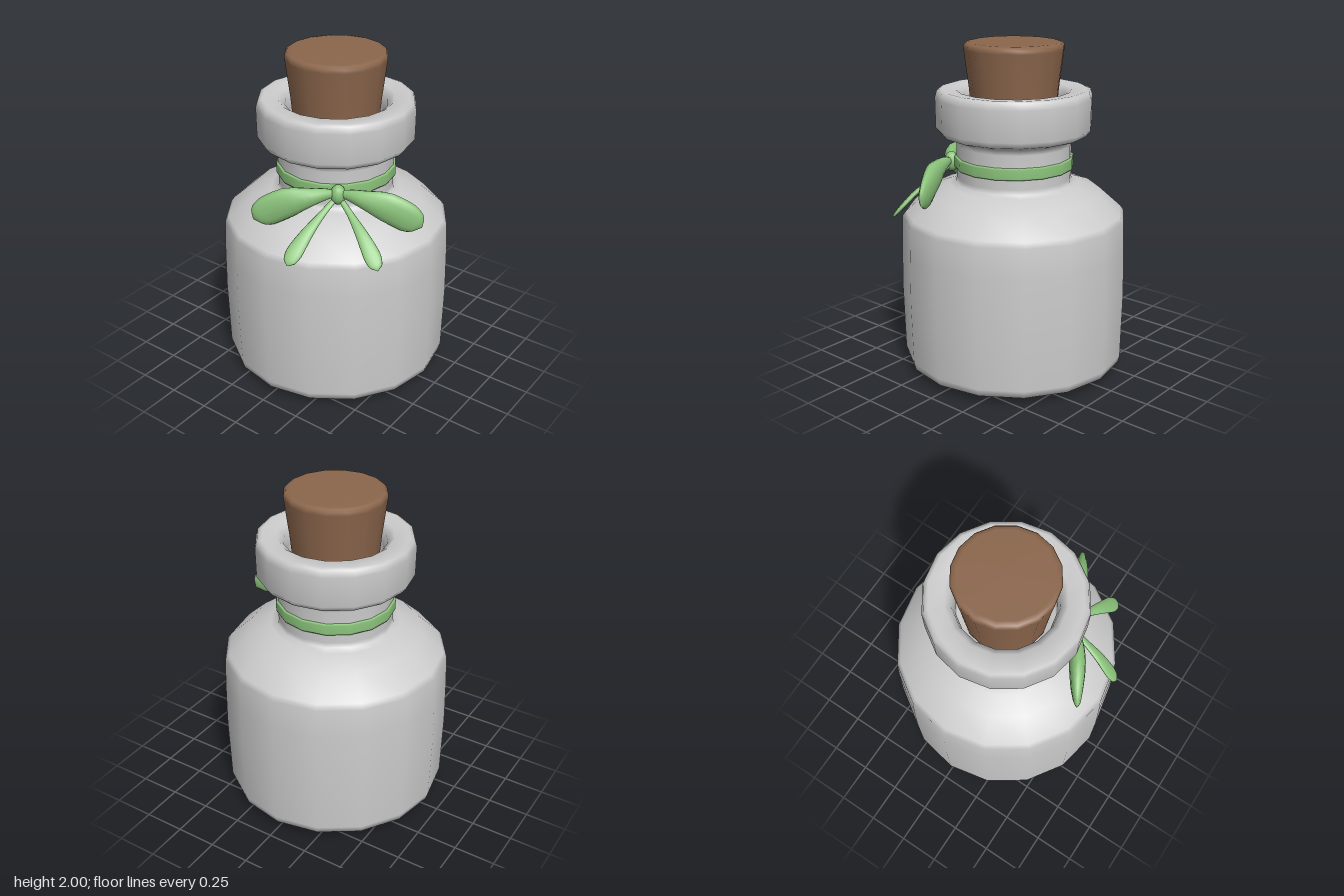
import * as THREE from 'three';

const SIDES = 16;

function lathe(name, profile, material) {
  const pts = profile.map(([r, y]) => new THREE.Vector2(r, y));
  const mesh = new THREE.Mesh(new THREE.LatheGeometry(pts, SIDES), material);
  mesh.name = name;
  return mesh;
}

// Loft of elliptical sections along a curve; rows are [x, y, z, halfWidth, halfThickness]
function loft(name, rows, mirror, hint, material, around = 12, steps = 16) {
  const path = new THREE.CatmullRomCurve3(rows.map(r => new THREE.Vector3(r[0] * mirror, r[1], r[2])));
  const sizes = new THREE.CatmullRomCurve3(rows.map(r => new THREE.Vector3(r[3], r[4], 0)));
  const pos = [], idx = [];
  for (let i = 0; i <= steps; i++) {
    const t = i / steps, p = path.getPoint(t), s = sizes.getPoint(t), tan = path.getTangent(t);
    const side = tan.clone().cross(hint).normalize();
    const nrm = side.clone().cross(tan);
    for (let j = 0; j < around; j++) {
      const a = j / around * Math.PI * 2;
      const v = p.clone().addScaledVector(side, s.x * Math.cos(a)).addScaledVector(nrm, s.y * Math.sin(a));
      pos.push(v.x, v.y, v.z);
      if (i < steps) {
        const k = (j + 1) % around, b = i * around, c = b + around;
        idx.push(b + j, c + j, b + k, c + j, c + k, b + k);
      }
    }
  }
  const geo = new THREE.BufferGeometry();
  geo.setAttribute('position', new THREE.Float32BufferAttribute(pos, 3));
  geo.setIndex(idx);
  geo.computeVertexNormals();
  const mesh = new THREE.Mesh(geo, material);
  mesh.name = name;
  return mesh;
}

export function createModel() {
  const mat = (name, color) => Object.assign(new THREE.MeshStandardMaterial({ color }), { name });
  const glass = mat('pale grey', 0xcccccc);
  const cork = mat('cork brown', 0x8b664c);
  const green = mat('ribbon green', 0x8cc47c);
  const model = new THREE.Group();
  model.name = 'corkedBottle';

  // Bottle: base, wall, shoulder, neck, rim and open mouth
  model.add(lathe('bottle', [
    [0, 0.005], [0.5, 0.005], [0.57, 0.01], [0.67, 0.055], [0.682, 0.1], [0.69, 0.5], [0.685, 0.78],
    [0.677, 0.96], [0.655, 0.99], [0.52, 1.112], [0.39, 1.155], [0.35, 1.17], [0.345, 1.2],
    [0.345, 1.4], [0.35, 1.432], [0.435, 1.462], [0.465, 1.5], [0.467, 1.68], [0.455, 1.72],
    [0.43, 1.728], [0.34, 1.72], [0.3, 1.69], [0.285, 1.62], [0.28, 1.5], [0, 1.5],
  ], glass));

  // Tapered stopper
  model.add(lathe('stopper', [
    [0, 1.5], [0.245, 1.5], [0.247, 1.52], [0.266, 1.73], [0.295, 1.96], [0.296, 1.98],
    [0.285, 1.995], [0.26, 2], [0, 2],
  ], cork));

  // Ribbon around the neck
  model.add(lathe('neckRibbon', [
    [0.335, 1.255], [0.355, 1.257], [0.358, 1.265], [0.358, 1.318], [0.355, 1.326], [0.335, 1.328],
  ], green));

  // Bow tied to one side of the front
  const bow = new THREE.Group();
  bow.name = 'bow';
  bow.position.set(0.23, 1.28, 0.3);
  bow.rotation.y = Math.PI / 6;
  const knot = new THREE.Mesh(new THREE.SphereGeometry(1, 12, 8), green);
  knot.name = 'knot';
  knot.scale.set(0.045, 0.06, 0.045);
  bow.add(knot);
  const loopRows = [
    [0.0, 0.005, 0.0, 0.015, 0.012], [0.07, 0.008, 0.02, 0.035, 0.028], [0.15, -0.004, 0.04, 0.055, 0.042],
    [0.28, -0.04, 0.05, 0.092, 0.048], [0.39, -0.095, 0.055, 0.092, 0.036],
    [0.45, -0.13, 0.06, 0.065, 0.022], [0.477, -0.15, 0.06, 0.004, 0.003],
  ];
  const tailRows = [
    [0.01, -0.02, 0.0, 0.015, 0.01], [0.08, -0.085, 0.08, 0.02, 0.012], [0.155, -0.16, 0.18, 0.036, 0.016],
    [0.215, -0.24, 0.255, 0.048, 0.015], [0.24, -0.28, 0.29, 0.036, 0.01], [0.25, -0.3, 0.305, 0.003, 0.002],
  ];
  for (const m of [1, -1]) {
    const sideName = m > 0 ? 'left' : 'right';
    bow.add(loft(sideName + 'BowLoop', loopRows, m, new THREE.Vector3(0, 0, 1), green));
    bow.add(loft(sideName + 'BowTail', tailRows, m, new THREE.Vector3(0, 1, 0.9), green));
  }
  model.add(bow);
  return model;
}
